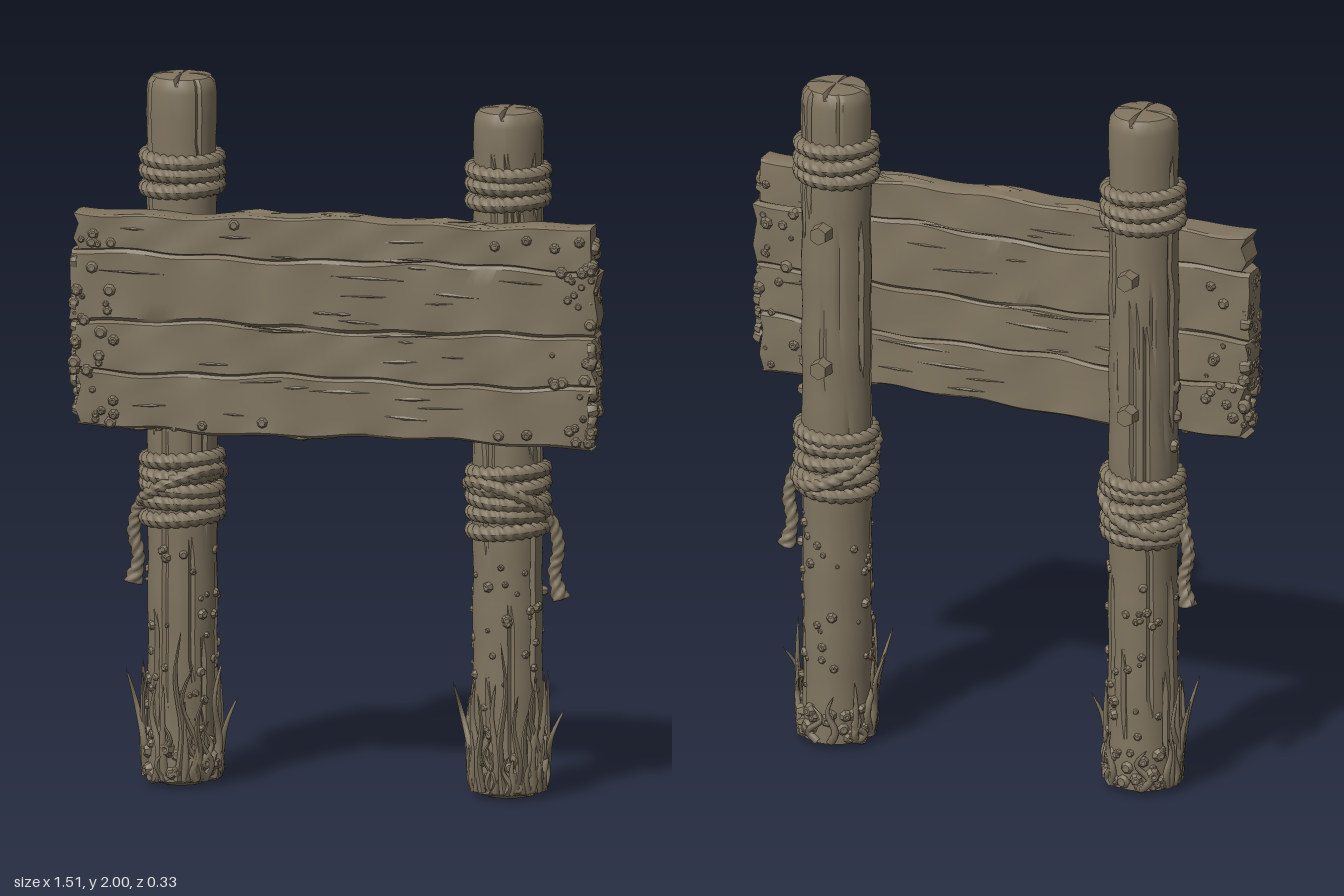
import * as THREE from 'three';
import { mergeGeometries, toCreasedNormals } from 'three/addons/utils/BufferGeometryUtils.js';

const V = (x, y, z) => new THREE.Vector3(x, y, z);
const UP = V(0, 1, 0);

export function createModel() {
  let seed = 17;
  const rnd = (a = 0, b = 1) => {
    seed = (seed * 16807) % 2147483647;
    return a + (b - a) * (seed / 2147483647);
  };
  const wood = new THREE.MeshStandardMaterial({ color: 0x80745f });
  wood.name = 'weathered wood';
  const model = new THREE.Group();
  model.name = 'signpost';
  const add = (parent, name, geo) => {
    const mesh = new THREE.Mesh(geo, wood);
    mesh.name = name;
    parent.add(mesh);
    return mesh;
  };

  // Tube whose radius follows a rule of distance along and angle around
  function shapedTube(curve, segs, sides, closed, radius) {
    const geo = new THREE.TubeGeometry(curve, segs, 1, sides, closed);
    const pos = geo.attributes.position, v = V();
    for (let i = 0; i <= segs; i++) {
      const c = curve.getPointAt(i / segs);
      for (let j = 0; j <= sides; j++) {
        const k = i * (sides + 1) + j;
        v.fromBufferAttribute(pos, k).sub(c).multiplyScalar(radius(i / segs, j / sides)).add(c);
        pos.setXYZ(k, v.x, v.y, v.z);
      }
    }
    geo.computeVertexNormals();
    return geo;
  }
  // Three-strand twist
  const lobes = (t, a, turns) => 0.72 + 0.34 * Math.abs(Math.sin(1.5 * (a * 2 * Math.PI) + Math.PI * turns * t));

  function ropeCoil(y, r, tilt, phase, thick) {
    const pts = [];
    for (let i = 0; i < 16; i++) {
      const a = (i / 16) * Math.PI * 2;
      pts.push(V(Math.sin(a) * r, y + tilt * Math.sin(a + phase), Math.cos(a) * r));
    }
    const curve = new THREE.CatmullRomCurve3(pts, true);
    return shapedTube(curve, 110, 12, true, (t, a) => thick * lobes(t, a, 24));
  }

  // Barnacle: small dome with a dimple, pointed along a normal
  const domeProfile = [[1, -0.3], [0.95, 0.25], [0.6, 0.7], [0.3, 0.72], [0, 0.5]].map(p => new THREE.Vector2(...p));
  function barnacle(p, n, s) {
    const geo = new THREE.LatheGeometry(domeProfile, 7);
    geo.scale(s, s * rnd(0.8, 1.2), s);
    geo.applyQuaternion(new THREE.Quaternion().setFromUnitVectors(UP, n.clone().normalize()));
    return geo.translate(p.x, p.y, p.z);
  }

  // ---- Posts ----
  function makePost(name, x, height, side) {
    const post = new THREE.Group();
    post.name = name;
    post.position.set(x, 0, -0.037);
    model.add(post);

    // Trunk: lathe with vertical splits and a cross split on top
    const prof = [[0, 0], [0.06, 0], [0.1, 0.015]];
    for (let i = 1; i <= 28; i++) prof.push([0.097 + 0.002 * Math.sin(i * 1.9), 0.015 + (height - 0.06) * i / 28]);
    prof.push([0.094, height - 0.022], [0.082, height - 0.006], [0.05, height], [0, height]);
    const segs = 64, n = prof.length;
    const geo = new THREE.LatheGeometry(prof.map(p => new THREE.Vector2(...p)), segs);
    const pos = geo.attributes.position;
    const splits = Array.from({ length: 40 }, () => {
      const lo = rnd(0.05, height - 0.2);
      return { col: 1 + Math.floor(rnd(0, segs - 1)), lo, hi: lo + rnd(0.12, 0.5), depth: rnd(0.05, 0.13) };
    });
    for (let i = 0; i <= segs; i++) for (let j = 0; j < n; j++) {
      const k = i * n + j, y = pos.getY(k);
      let f = 1 + 0.018 * Math.sin(3 * (i / segs) * 2 * Math.PI + y * 2 + x * 9);
      for (const s of splits) if (s.col === i && y > s.lo && y < s.hi) f = 1 - s.depth;
      pos.setXYZ(k, pos.getX(k) * f, y, pos.getZ(k) * f);
      if (j >= n - 3 && i % 16 === 0) pos.setY(k, y - 0.012);
    }
    add(post, 'trunk', toCreasedNormals(geo, 0.6));

    // Rope lashings
    const coils = [1.682, 1.724, 1.766].map((y, i) => ropeCoil(y, 0.1, 0.004, i * 2, 0.022));
    add(post, 'upperLashing', mergeGeometries(coils));
    const low = [0.755, 0.797, 0.839, 0.881, 0.918].map((y, i) => ropeCoil(y, 0.1, 0.007, i * 1.7, 0.022));
    low.push(ropeCoil(0.835, 0.11, 0.06, side > 0 ? 2.2 : 0.6, 0.019));
    add(post, 'lowerLashing', mergeGeometries(low));
    const tail = new THREE.CatmullRomCurve3([
      V(side * 0.09, 0.8, 0.03), V(side * 0.122, 0.775, 0.0),
      V(side * 0.14, 0.7, -0.01), V(side * 0.128, 0.63, -0.015), V(side * 0.145, 0.55, -0.02)]);
    add(post, 'ropeTail', shapedTube(tail, 50, 12, false, (t, a) =>
      t === 1 ? 0 : lobes(t, a, 9) * (0.019 + 0.009 * Math.max(0, t - 0.8) / 0.2)));

    // Bolt heads on the back
    for (const y of [1.53, 1.13]) {
      const bolt = add(post, 'boltHead', toCreasedNormals(new THREE.CylinderGeometry(0.026, 0.031, 0.05, 6), 0.5));
      bolt.rotation.x = -Math.PI / 2;
      bolt.position.set(0, y, -0.108);
    }

    // Barnacles: dense at the foot, thinning upward
    const shells = [];
    const onTrunk = (y, s) => {
      const a = rnd(0, Math.PI * 2), d = V(Math.sin(a), 0, Math.cos(a));
      shells.push(barnacle(d.clone().multiplyScalar(0.097).setY(y), d, s));
    };
    for (let i = 0; i < 60; i++) onTrunk(rnd(0.02, 0.12), rnd(0.012, 0.024));
    for (let i = 0; i < 70; i++) onTrunk(0.1 + 0.58 * rnd() ** 1.4, rnd(0.006, 0.016));
    for (const y of [1.02, 1.1, 1.19]) {
      const d = V(side, 0, rnd(-0.1, 0.2)).normalize();
      shells.push(barnacle(d.clone().multiplyScalar(0.095).setY(y), d, 0.02));
    }
    add(post, 'postBarnacles', toCreasedNormals(mergeGeometries(shells), 0.7));

    // Seaweed blades hugging the foot, a few curling away
    const blades = [];
    const blade = (a, h, out) => {
      const at = (r, y, da) => V(Math.sin(a + da) * r, y, Math.cos(a + da) * r);
      const w = rnd(-0.3, 0.3);
      const curve = new THREE.CatmullRomCurve3([at(0.1, 0.02, 0), at(0.108, h * 0.35, w),
        at(0.108 + out * 0.4, h * 0.7, -w * 0.5), at(0.104 + out, h, w * 0.7)]);
      blades.push(shapedTube(curve, 12, 5, false, t => 0.013 * (1 - t) ** 0.6));
    };
    for (let i = 0; i < 22; i++) blade(rnd(-1.9, 1.9), rnd(0.12, 0.36), rnd(0, 0.012));
    for (let i = 0; i < 6; i++) blade(rnd(1.9, 4.4), rnd(0.1, 0.22), rnd(0, 0.01));
    blade(-1.3, 0.33, 0.055); blade(-1.6, 0.27, 0.04); blade(1.5, 0.25, 0.055);
    blade(1.2, 0.36, 0.02); blade(0.6, 0.27, 0.04); blade(0.1, 0.45, 0.01);
    add(post, 'seaweed', mergeGeometries(blades));
  }
  makePost('rightPost', -0.465, 2.0, -1);
  makePost('leftPost', 0.46, 1.94, 1);

  // ---- Board: four planks meeting in wavering grooves ----
  const board = new THREE.Group();
  board.name = 'signBoard';
  board.position.z = 0.093;
  model.add(board);
  const seams = [1.02, 1.185, 1.325, 1.52, 1.635];
  const seamY = (k, x) => seams[k] + (k === 4 ? 0.008 * x : 0) +
    0.006 * Math.sin(x * 7 + k * 2) + 0.004 * Math.sin(x * 23 + k * 5);
  const rows = [0, 0.05, 0.3, 0.7, 0.95, 1];
  const ends = [0.725, 0.74, 0.745, 0.73];
  const boardZ = (x, y) => 0.046 + 0.003 * Math.sin(x * 11 + y * 17) + 0.002 * Math.sin(x * 31 - y * 60);
  for (let k = 0; k < 4; k++) {
    const geo = new THREE.BoxGeometry(2, 5, 2, 64, 5, 2);
    const pos = geo.attributes.position;
    for (let i = 0; i < pos.count; i++) {
      const u = pos.getX(i), row = Math.round(pos.getY(i) + 2.5), zz = pos.getZ(i);
      const edge = row === 0 || row === 5;
      const x = u * ends[k] + (Math.abs(u) > 0.99 ? 0.008 * Math.sin(row * 3 + k * 4 + u) : 0);
      const y = THREE.MathUtils.lerp(seamY(k, x), seamY(k + 1, x), rows[row]);
      const pinch = edge ? 0.76 + 0.1 * Math.sin(x * 13 + k) : Math.abs(u) > 0.99 ? 0.9 : 1;
      pos.setXYZ(i, x, y, zz * boardZ(x, y) * pinch);
    }
    add(board, 'plank', toCreasedNormals(geo, 0.5));
  }

  // Long wood splinters on both faces
  const slivers = [];
  for (let i = 0; i < 64; i++) {
    const x = rnd(-0.58, 0.58), y = rnd(1.05, 1.6), s = i % 2 ? 1 : -1;
    const geo = new THREE.OctahedronGeometry(1).scale(rnd(0.03, 0.13), rnd(0.003, 0.006), 0.004);
    geo.rotateZ(rnd(-0.08, 0.08)).translate(x, y, s * boardZ(x, y));
    slivers.push(geo);
  }
  for (let i = 0; i < 12; i++) {
    const x = rnd(-0.65, 0.65), k = i % 2 ? 4 : 0;
    slivers.push(new THREE.OctahedronGeometry(1).scale(rnd(0.04, 0.1), 0.009, 0.02)
      .translate(x, seamY(k, x), rnd(-0.025, 0.025)));
  }
  add(board, 'splinters', mergeGeometries(slivers));

  // Barnacles along both ends, on the faces near them and under the corners
  const crust = [];
  for (const s of [-1, 1]) {
    for (let i = 0; i < 50; i++) {
      const y = rnd(1.04, s < 0 ? 1.56 : 1.6);
      crust.push(barnacle(V(s * 0.732, y, rnd(-0.038, 0.042)), V(s, rnd(-0.3, 0.3), 0), rnd(0.01, 0.024)));
    }
    for (let i = 0; i < 46; i++) {
      const face = i % 3 ? 1 : -1, y = 1.035 + 0.54 * rnd() ** 1.3;
      const x = s * (0.735 - 0.12 * rnd() ** 1.8);
      crust.push(barnacle(V(x, y, face * 0.044), V(0, 0, face), rnd(0.008, 0.02)));
    }
    for (let i = 0; i < 12; i++)
      crust.push(barnacle(V(s * rnd(0.4, 0.72), 1.028, rnd(-0.03, 0.04)), V(0, -1, 0.2), rnd(0.008, 0.015)));
  }
  for (const [x, y] of [[-0.68, 1.57], [-0.28, 1.61], [0.46, 1.58], [0.55, 1.6], [0.63, 1.58], [0.7, 1.6],
    [-0.2, 1.055], [-0.37, 1.04], [0.55, 1.05], [0.47, 1.045]])
    crust.push(barnacle(V(x, y, 0.044), V(0, 0, 1), 0.016));
  add(board, 'boardBarnacles', toCreasedNormals(mergeGeometries(crust), 0.7));

  return model;
}
